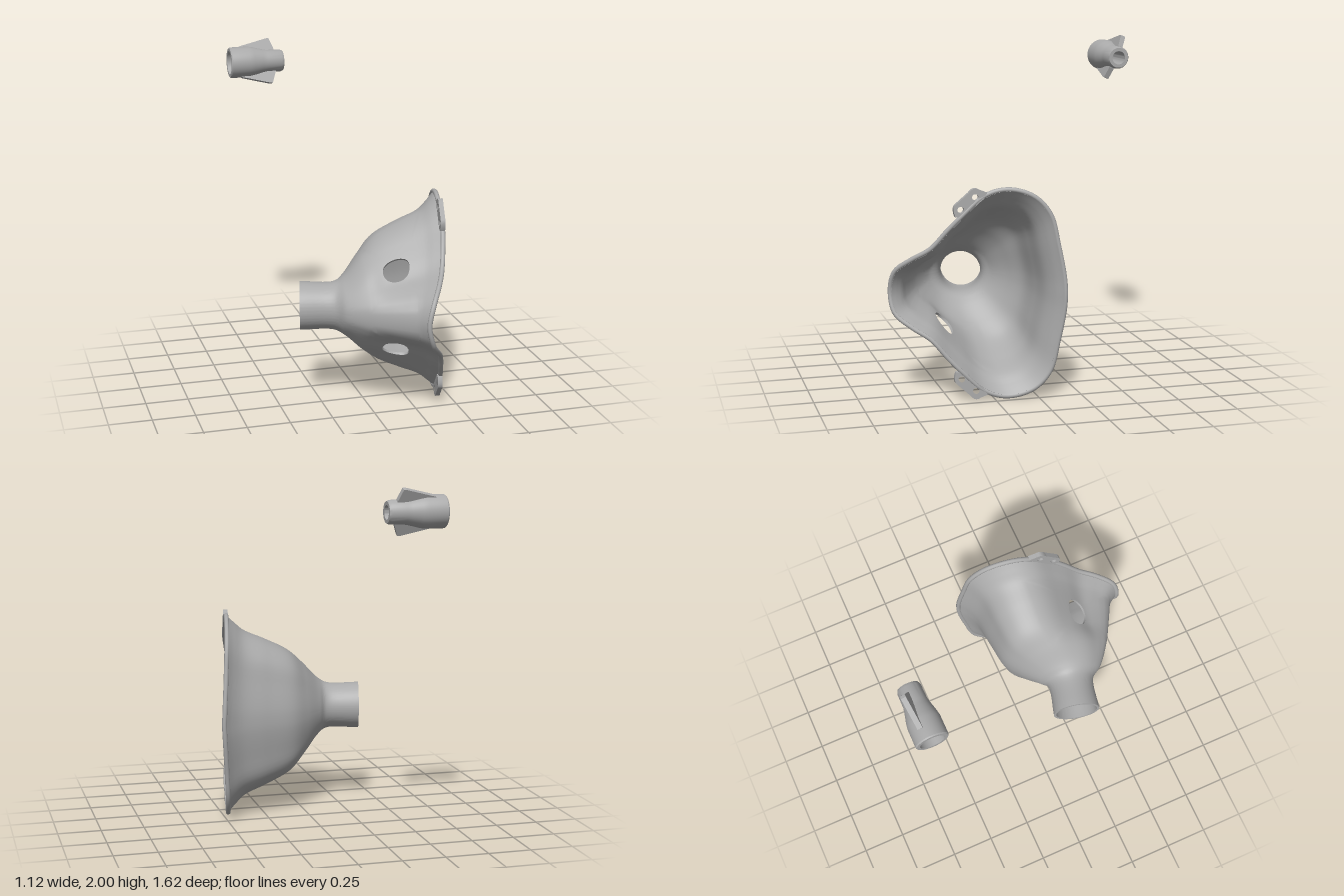
import * as THREE from 'three';
import { toCreasedNormals } from 'three/addons/utils/BufferGeometryUtils.js';

const V = (x, y, z) => new THREE.Vector3(x, y, z);
const MID = 0.61;              // height of the mirror plane
const ROWS = 64, COLS = 96;    // shell grid: along the funnel, around it
const WALL = 0.014;

// Half of the face opening as [z, y, x], from nose to chin
const HALF = [
  [0.81, 0.61, 0.22], [0.79, 0.73, 0.25], [0.70, 0.81, 0.31], [0.60, 0.875, 0.36],
  [0.51, 0.98, 0.395], [0.43, 1.065, 0.42], [0.30, 1.18, 0.44], [0.165, 1.215, 0.465],
  [0.016, 1.17, 0.495], [-0.074, 1.065, 0.515], [-0.116, 0.89, 0.53], [-0.148, 0.705, 0.545],
  [-0.153, 0.61, 0.55],
];

// Cross-sections: chin x, z; nose x, z; half height; share of the opening's shape
const SECTIONS = [
  [-0.34, 0.11, -0.41, 0.38, 0.14, 0],
  [-0.15, 0.155, -0.22, 0.43, 0.14, 0],
  [-0.10, 0.115, -0.165, 0.505, 0.175, 0.15],
  [0.00, 0.03, -0.05, 0.60, 0.29, 0.45],
  [0.10, -0.03, 0.04, 0.655, 0.375, 0.85],
  [0.27, -0.053, 0.12, 0.70, 0.445, 1],
  [0.42, -0.07, 0.18, 0.735, 0.50, 1],
  [0.49, -0.10, 0.205, 0.765, 0.55, 1],
  [0.545, -0.14, 0.225, 0.80, 0.594, 1],
];

// Opening as normalised (u toward nose, v up) plus its bend in x
const unit = HALF.map(([z, y, x]) => {
  const u = (z - 0.3285) / 0.4815;
  return V(u, (y - MID) / 0.605, x - (0.385 - 0.165 * u));
});
const opening = new THREE.CatmullRomCurve3(
  [...unit, ...unit.slice(1, -1).reverse().map((p) => V(p.x, -p.y, p.z))], true);

// Point on the outer skin at grid position (i, j)
function skin(i, j) {
  const o = opening.getPoint((((j / COLS) % 1) + 1) % 1);
  const a = Math.atan2(o.y, o.x);
  const pts = SECTIONS.map(([xb, zb, xf, zf, h, w], k) => {
    const u = THREE.MathUtils.lerp(Math.cos(a), o.x, w);
    const v = THREE.MathUtils.lerp(Math.sin(a), o.y, w);
    const f = (k / (SECTIONS.length - 1)) ** 2;
    return V((xb + xf) / 2 + ((xf - xb) / 2) * u + o.z * f * w,
      MID + h * v, (zb + zf) / 2 + ((zf - zb) / 2) * u);
  });
  return new THREE.CatmullRomCurve3(pts).getPoint(THREE.MathUtils.clamp(i / ROWS, 0, 1));
}

function slopes(i, j) {
  const e = 0.2, i0 = Math.max(0, i - e), i1 = Math.min(ROWS, i + e);
  return [skin(i1, j).sub(skin(i0, j)).divideScalar(i1 - i0),
    skin(i, j + e).sub(skin(i, j - e)).divideScalar(2 * e)];
}

// Grid position and size of the vent nearest a target point, and its mirror twin
function findVents() {
  const target = V(0.125, 0.845, 0.475);
  let best = 9, vent;
  for (let i = 24; i < 50; i++) for (let j = 4; j < 40; j++) {
    const d = skin(i, j).distanceTo(target);
    if (d < best) { best = d; vent = { i, j }; }
  }
  const [di, dj] = slopes(vent.i, vent.j);
  vent.ri = 0.082 / di.length();
  vent.rj = 0.076 / dj.length();
  return [vent, { ...vent, j: COLS - vent.j }];
}

// Double-walled funnel; the grid is pushed aside to leave two round vents
function shellGeometry() {
  const vents = findVents(), K = 5, M = 12;
  const outer = [], inner = [], index = [];
  for (let i = 0; i <= ROWS; i++) for (let j = 0; j < COLS; j++) {
    let gi = i, gj = j;
    for (const c of vents) {
      const a = i - c.i, b = j - c.j, q = Math.max(Math.abs(a), Math.abs(b));
      if (q < K || q >= M) continue;
      const r = Math.hypot(a, b), f = (q - K) / (M - K);
      gi = THREE.MathUtils.lerp(c.i + (a / r) * c.ri, i, f);
      gj = THREE.MathUtils.lerp(c.j + (b / r) * c.rj, j, f);
    }
    const p = skin(gi, gj), [di, dj] = slopes(gi, gj);
    const n = di.cross(dj).normalize();
    outer.push(...p.toArray());
    inner.push(...p.addScaledVector(n, -WALL).toArray());
  }
  const id = (i, j) => i * COLS + (j % COLS);
  for (let i = 0; i < ROWS; i++) for (let j = 0; j < COLS; j++) {
    if (vents.some((c) => Math.abs(i + 0.5 - c.i) < K && Math.abs(j + 0.5 - c.j) < K)) continue;
    const a = id(i, j), b = id(i + 1, j), c = id(i + 1, j + 1), d = id(i, j + 1);
    index.push(a, b, c, a, c, d);
  }
  // inner skin, then walls along every open edge
  const count = outer.length / 3, edges = new Set(), all = [...index];
  for (let t = 0; t < index.length; t += 3) {
    const [a, b, c] = index.slice(t, t + 3);
    all.push(a + count, c + count, b + count);
    for (const [p, q] of [[a, b], [b, c], [c, a]]) edges.add(p * count + q);
  }
  for (const e of edges) {
    const a = Math.floor(e / count), b = e % count;
    if (!edges.has(b * count + a)) all.push(b, a, a + count, b, a + count, b + count);
  }
  const g = new THREE.BufferGeometry();
  g.setAttribute('position', new THREE.Float32BufferAttribute([...outer, ...inner], 3));
  g.setIndex(all);
  return toCreasedNormals(g, 0.8);
}

// Rounded bead around the opening
function rimGeometry() {
  const pts = [];
  for (let j = 0; j < COLS; j++) pts.push(skin(ROWS, j));
  return new THREE.TubeGeometry(new THREE.CatmullRomCurve3(pts, true), 144, 0.014, 10, true);
}

// Strap lug with two holes; side +1 is the upper one
function lugGeometry(side) {
  const y = (h) => MID + side * (h - MID);
  const s = new THREE.Shape();
  s.moveTo(0.425, y(1.05));
  s.lineTo(0.465, y(1.055));
  s.quadraticCurveTo(0.482, y(1.10), 0.465, y(1.122));
  s.lineTo(0.39, y(1.19));
  s.quadraticCurveTo(0.36, y(1.23), 0.33, y(1.205));
  s.lineTo(0.29, y(1.19));
  s.lineTo(0.31, y(1.155));
  for (const [z, h] of [[0.355, 1.165], [0.435, 1.095]]) {
    const hole = new THREE.Path();
    hole.absarc(z, y(h), 0.018, 0, Math.PI * 2, true);
    s.holes.push(hole);
  }
  const g = new THREE.ExtrudeGeometry(s, { depth: 0.028, bevelEnabled: false, curveSegments: 12 });
  g.rotateY(-Math.PI / 2);
  const p = g.attributes.position;
  for (let k = 0; k < p.count; k++) p.setX(k, p.getX(k) + 0.437 - (p.getZ(k) - 0.39) * 0.18);
  g.computeVertexNormals();
  return g;
}

// Hollow stepped sleeve turned around the x axis
function sleeveGeometry() {
  const profile = [
    [0.070, -0.565], [0.088, -0.565], [0.093, -0.558], [0.093, -0.45], [0.088, -0.42],
    [0.074, -0.365], [0.068, -0.335], [0.067, -0.25], [0.060, -0.235], [0.040, -0.235],
    [0.038, -0.44], [0.070, -0.44], [0.070, -0.565],
  ].map(([r, x]) => new THREE.Vector2(r, x));
  const g = new THREE.LatheGeometry(profile, 40);
  g.rotateZ(-Math.PI / 2);
  return toCreasedNormals(g, 0.6);
}

function finGeometry() {
  const s = new THREE.Shape([[-0.5, 0.08], [-0.40, 0.06], [-0.285, 0.05], [-0.285, 0.07],
    [-0.31, 0.138], [-0.325, 0.139], [-0.5, 0.095]].map(([x, r]) => new THREE.Vector2(x, r)));
  const g = new THREE.ExtrudeGeometry(s, { depth: 0.03, bevelEnabled: false });
  g.translate(0, 0, -0.015);
  return g;
}

export function createModel() {
  const grey = new THREE.MeshStandardMaterial({ color: 0xaaaaaa });
  grey.name = 'grey plastic';
  const add = (parent, name, geometry) => {
    const m = new THREE.Mesh(geometry, grey);
    m.name = name;
    parent.add(m);
    return m;
  };
  const model = new THREE.Group();

  const mask = new THREE.Group();
  mask.name = 'mask';
  add(mask, 'shell', shellGeometry());
  add(mask, 'rim', rimGeometry());
  add(mask, 'upperStrapLug', lugGeometry(1));
  add(mask, 'lowerStrapLug', lugGeometry(-1));

  const connector = new THREE.Group();
  connector.name = 'connector';
  connector.position.set(0, 1.866, -0.717);
  add(connector, 'sleeve', sleeveGeometry());
  const fin = finGeometry();
  add(connector, 'upperFin', fin).rotation.x = -0.4;
  add(connector, 'lowerFin', fin).rotation.x = Math.PI - 0.4;

  model.add(mask, connector);
  return model;
}
